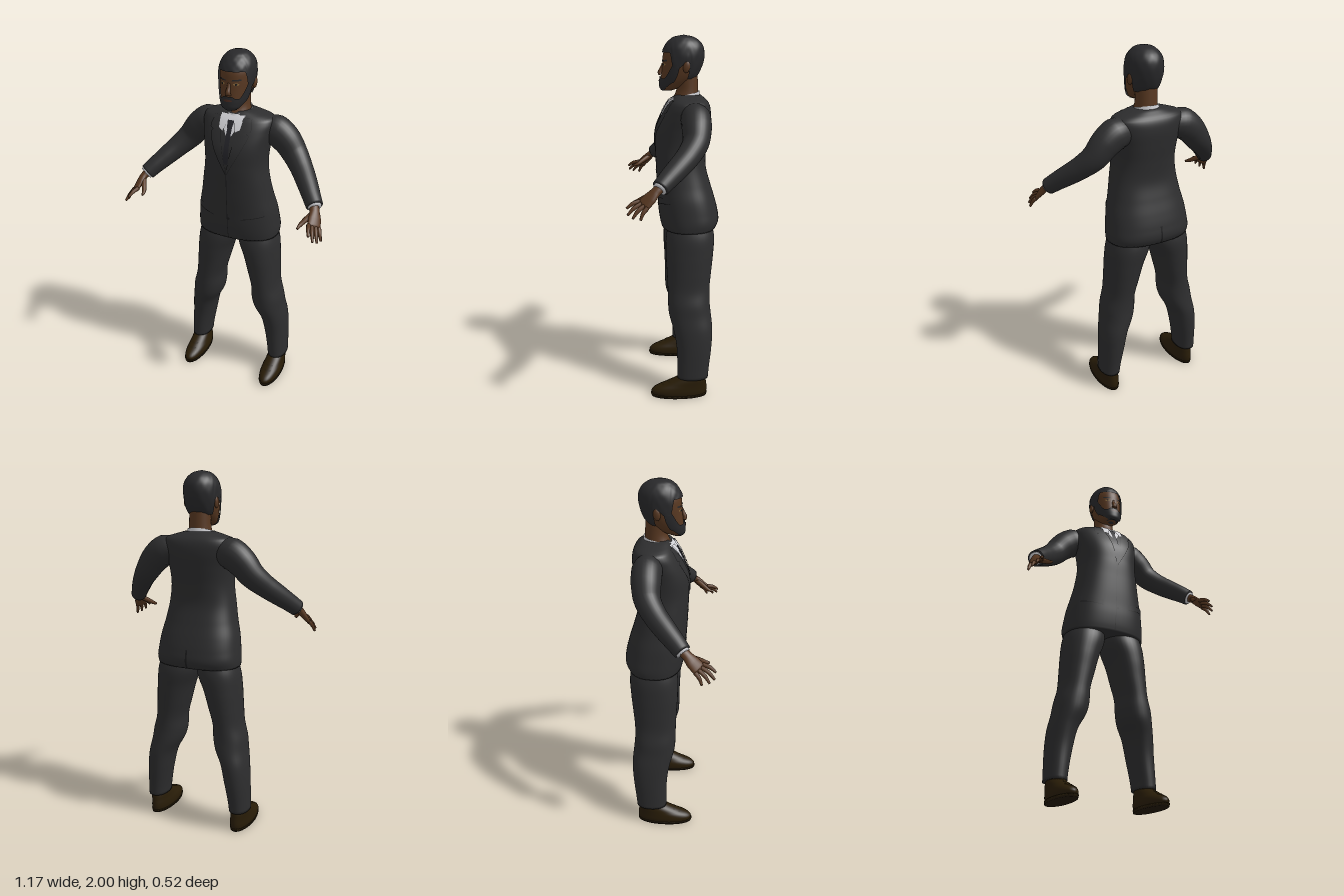
import * as THREE from 'three';
import { mergeVertices } from 'three/addons/utils/BufferGeometryUtils.js';

const mat = (name, color) => new THREE.MeshStandardMaterial({ name, color, side: THREE.DoubleSide });
const V = (x, y, z) => new THREE.Vector3(x, y, z);
const lerp = THREE.MathUtils.lerp;
const smooth = THREE.MathUtils.smoothstep;

// Grid of points p(u, v), welded so normals are smooth
function grid(nu, nv, p) {
  const pos = [], idx = [];
  for (let j = 0; j <= nv; j++) for (let i = 0; i <= nu; i++) {
    const q = p(i / nu, j / nv, j);
    pos.push(q.x, q.y, q.z);
  }
  for (let j = 0; j < nv; j++) for (let i = 0; i < nu; i++) {
    const a = j * (nu + 1) + i, d = a + nu + 1;
    idx.push(a, a + 1, d + 1, a, d + 1, d);
  }
  let g = new THREE.BufferGeometry();
  g.setAttribute('position', new THREE.Float32BufferAttribute(pos, 3));
  g.setIndex(idx);
  g = mergeVertices(g, 1e-5);
  g.computeVertexNormals();
  return g;
}

// Body surface from cross-sections [y, centre x, half width, front z, back z]
function surface(rows, p = 1) {
  const it = new THREE.CubicInterpolant(rows.map(r => r[0]), rows.flatMap(r => r.slice(1)), 4);
  const pw = c => Math.sign(c) * Math.abs(c) ** p;
  const at = (a, y, off = 0) => {
    const [cx, hw, zf, zb] = it.evaluate(y);
    const s = Math.sin(a), c = Math.cos(a);
    return V(cx + hw * pw(s) + off * s, y, (zf + zb) / 2 + (zf - zb) / 2 * pw(c) + off * c);
  };
  // Point on the front side, at x measured from the section's centre
  const front = (x, y, off) => {
    const k = Math.min(1, Math.abs(x) / it.evaluate(y)[1]);
    return at(Math.sign(x) * Math.asin(k ** (1 / p)), y, off);
  };
  return { at, front, y0: rows[0][0], y1: rows[rows.length - 1][0] };
}

// Closed solid from a surface
function loft(s, nu = 40, nv = 44) {
  const n = nv + 2;
  return grid(nu, n, (u, v, j) => {
    const y = lerp(s.y0, s.y1, THREE.MathUtils.clamp((j - 1) / nv, 0, 1));
    const a = (u % 1) * Math.PI * 2;
    return j === 0 || j === n ? s.at(0, y).add(s.at(Math.PI, y)).multiplyScalar(0.5) : s.at(a, y);
  });
}

// Swept limb: points [x, y, z, side radius, thickness radius]
function limb(pts, ref = V(0, 0, 1), nu = 20, nv = 28) {
  const curve = new THREE.CatmullRomCurve3(pts.map(q => V(q[0], q[1], q[2])));
  const n = nv + 2;
  return grid(nu, n, (u, v, j) => {
    const t = THREE.MathUtils.clamp((j - 1) / nv, 0, 1), c = curve.getPoint(t);
    if (j === 0 || j === n) return c;
    const k = Math.min(pts.length - 2, Math.floor(t * (pts.length - 1))), f = t * (pts.length - 1) - k;
    const A = pts[k], B = pts[k + 1];
    const T = curve.getTangent(t);
    const N = ref.clone().addScaledVector(T, -T.dot(ref)).normalize();
    const M = T.clone().cross(N);
    const a = (u % 1) * Math.PI * 2;
    return c.addScaledVector(N, Math.cos(a) * lerp(A[3], B[3], f))
      .addScaledVector(M, Math.sin(a) * lerp(A[4] ?? A[3], B[4] ?? B[3], f));
  });
}

// Thin plates lying on the front of a surface
const quad = (s, off, bl, br, tl, tr, n = 8) => grid(n, n, (u, v) =>
  s.front(lerp(lerp(bl[0], br[0], u), lerp(tl[0], tr[0], u), v), lerp(lerp(bl[1], br[1], u), lerp(tl[1], tr[1], u), v), off));
const disc = (s, off, x, y, rx, ry) => grid(20, 3, (u, v) =>
  s.front(x + Math.cos(u * 2 * Math.PI) * rx * (1 - v), y + Math.sin(u * 2 * Math.PI) * ry * (1 - v), off));

function mirror(g) {
  const m = g.clone().scale(-1, 1, 1), i = m.index.array;
  for (let k = 0; k < i.length; k += 3) [i[k], i[k + 1]] = [i[k + 1], i[k]];
  m.computeVertexNormals();
  return m;
}

export function createModel() {
  const root = new THREE.Group();
  root.name = 'suitedMan';
  const suit = mat('charcoal suit', 0x2d2d2e), seam = mat('dark seam', 0x1b1b1c), skin = mat('brown skin', 0x583821),
    hair = mat('black hair', 0x29292b), shoe = mat('brown leather', 0x281c07), sole = mat('dark sole', 0x231906),
    shirt = mat('white shirt', 0xd2d2d6), tie = mat('dark tie', 0x242429), lip = mat('lips', 0x4a2a20), iris = mat('amber eye', 0x8a6a3c);
  const add = (name, g, m) => {
    const mesh = new THREE.Mesh(g, m);
    mesh.name = name;
    root.add(mesh);
  };
  const pair = (name, g, m) => { add('left' + name, g, m); add('right' + name, mirror(g), m); };

  // Jacket body
  const torso = surface([
    [0.955, 0, 0.238, 0.066, -0.242], [0.99, 0, 0.24, 0.074, -0.257], [1.05, 0, 0.234, 0.082, -0.25], [1.12, 0, 0.224, 0.086, -0.232],
    [1.2, 0, 0.205, 0.091, -0.207], [1.3, 0, 0.187, 0.095, -0.182], [1.4, 0, 0.174, 0.098, -0.186], [1.5, 0, 0.182, 0.091, -0.2],
    [1.58, 0, 0.197, 0.059, -0.207], [1.63, 0, 0.2, 0.03, -0.2], [1.652, 0, 0.186, 0.014, -0.188],
    [1.668, 0, 0.135, 0.0, -0.17], [1.684, 0, 0.075, -0.014, -0.15]], 0.83);
  add('jacket', loft(torso, 56, 72), suit);
  add('frontSeam', quad(torso, 0.002, [-0.002, 0.962], [0.002, 0.962], [-0.002, 1.4], [0.002, 1.4], 20), seam);
  add('backVent', grid(2, 12, (u, v) => torso.at(Math.PI + lerp(-0.01, 0.01, u), lerp(0.958, 1.06, v), 0.002)), seam);
  add('button', disc(torso, 0.004, 0.01, 1.09, 0.007, 0.007), seam);
  pair('PocketFlap', quad(torso, 0.004, [0.08, 1.095], [0.195, 1.115], [0.08, 1.125], [0.192, 1.15]), suit);
  pair('PocketSeam', quad(torso, 0.005, [0.08, 1.093], [0.195, 1.113], [0.08, 1.097], [0.195, 1.117]), seam);

  // Shirt front, tie and lapels
  add('shirtFront', quad(torso, 0.003, [-0.016, 1.57], [0.016, 1.57], [-0.068, 1.668], [0.068, 1.668], 14), shirt);
  add('tieBlade', quad(torso, 0.005, [-0.015, 1.42], [0.015, 1.42], [-0.012, 1.63], [0.012, 1.63], 14), tie);
  add('tieKnot', quad(torso, 0.01, [-0.012, 1.605], [0.012, 1.605], [-0.02, 1.645], [0.02, 1.645]), tie);
  const lapel = (off, extra) => grid(8, 30, (u, v) => {
    const inner = lerp(0.002, 0.066, v ** 1.3);
    const width = 0.062 * Math.sin(Math.PI * Math.min(1, v * 0.62)) * (v > 0.74 && v < 0.8 ? 0.72 : 1) * (1 - 0.35 * smooth(v, 0.8, 1));
    return torso.front(inner + u * (width + extra), lerp(1.36, 1.658, v), off);
  });
  pair('LapelEdge', lapel(0.004, 0.002), seam);
  pair('Lapel', lapel(0.007, 0), suit);
  pair('CollarWing', quad(torso, 0.011, [0.034, 1.59], [0.058, 1.606], [0.012, 1.66], [0.064, 1.668]), shirt);

  // Neck and shirt collar
  const neck = surface([[1.58, 0, 0.072, 0.0, -0.14], [1.66, 0, 0.066, 0.0, -0.14], [1.71, 0, 0.06, -0.02, -0.138], [1.8, 0, 0.06, -0.015, -0.135]]);
  add('neck', loft(neck, 28, 16), skin);
  add('shirtCollar', grid(40, 5, (u, v) => {
    const a = u * Math.PI * 2;
    return neck.at(a, lerp(1.64, 1.688 - 0.016 * Math.cos(a), v), 0.011 - 0.004 * v);
  }), shirt);

  // Head
  const head = surface([
    [1.706, 0, 0.024, 0.052, 0.005], [1.718, 0, 0.044, 0.063, -0.03], [1.745, 0, 0.063, 0.066, -0.08], [1.78, 0, 0.076, 0.063, -0.122],
    [1.82, 0, 0.084, 0.059, -0.145], [1.86, 0, 0.088, 0.056, -0.158], [1.9, 0, 0.088, 0.052, -0.163], [1.94, 0, 0.079, 0.036, -0.154],
    [1.97, 0, 0.057, 0.01, -0.128], [1.986, 0, 0.032, -0.02, -0.095], [1.992, 0, 0.004, -0.055, -0.062]], 0.97);
  add('head', loft(head, 48, 48), skin);
  add('hair', grid(72, 28, (u, v) => {
    const a = (u - 0.5) * 2 * Math.PI, d = Math.abs(a);
    const low = 1.908 - 0.078 * smooth(d, 0.85, 1.15) + 0.03 * smooth(d, 1.5, 1.65) - 0.09 * smooth(d, 1.8, 2.1);
    const y = lerp(low, 1.992, Math.sin(v * Math.PI / 2));
    const q = head.at(a % (2 * Math.PI), y, 0.0085 * (1 - v ** 4) + 0.0015 * Math.sin(a * 12) * Math.sin(v * 17) * (1 - v));
    q.y += 0.006 * v;
    return q;
  }), hair);
  add('beard', grid(48, 14, (u, v) => {
    const a = (u - 0.5) * 2.9, d = Math.abs(a);
    const top = 1.783 - 0.01 * smooth(d, 0.25, 0.5) + 0.09 * smooth(d, 0.7, 1.25);
    const low = 1.707 + 0.045 * smooth(d, 0.9, 1.45);
    return head.at(a, lerp(low, top, v), 0.008);
  }), hair);
  add('beardUnderside', grid(24, 4, (u, v) => {
    const q = head.at((u - 0.5) * 2.9, 1.708, 0.008);
    return q.lerp(V(0, 1.704, 0.01), 1 - v);
  }), hair);
  add('mouth', disc(head, 0.011, 0, 1.763, 0.022, 0.006), lip);
  add('nose', limb([[0, 1.848, 0.052, 0.008], [0, 1.825, 0.06, 0.01], [0, 1.803, 0.07, 0.014, 0.012], [0, 1.79, 0.068, 0.017, 0.01]], V(1, 0, 0), 14, 14), skin);
  pair('Eye', disc(head, 0.003, 0.036, 1.845, 0.014, 0.006), iris);
  pair('Pupil', disc(head, 0.005, 0.036, 1.845, 0.0055, 0.0055), seam);
  pair('Brow', quad(head, 0.004, [0.015, 1.861], [0.058, 1.863], [0.017, 1.868], [0.056, 1.871]), hair);
  const ear = new THREE.SphereGeometry(1, 14, 12).scale(0.011, 0.032, 0.019).rotateX(-0.15).translate(0.09, 1.835, -0.068);
  pair('Ear', ear, skin);

  // Sleeves, cuffs and hands
  pair('Sleeve', limb([
    [0.13, 1.575, -0.1, 0.07, 0.07], [0.2, 1.572, -0.11, 0.08, 0.086], [0.258, 1.532, -0.11, 0.078, 0.08], [0.313, 1.467, -0.1, 0.069, 0.07],
    [0.372, 1.407, -0.056, 0.062, 0.06], [0.425, 1.355, 0.0, 0.057, 0.054], [0.468, 1.312, 0.05, 0.051, 0.048], [0.501, 1.277, 0.088, 0.045, 0.045]],
    undefined, 28, 42), suit);
  pair('Cuff', limb([[0.494, 1.285, 0.08, 0.036], [0.506, 1.271, 0.094, 0.036]], undefined, 24, 2), shirt);
  const across = V(0.045, -0.02, -0.045);
  pair('Palm', limb([[0.495, 1.283, 0.082, 0.026, 0.024], [0.511, 1.26, 0.112, 0.027, 0.02], [0.522, 1.232, 0.14, 0.037, 0.018],
    [0.53, 1.205, 0.168, 0.039, 0.014], [0.533, 1.195, 0.178, 0.03, 0.008]], across), skin);
  const fingers = [
    ['IndexFinger', [0.507, 1.215, 0.188], [0.53, 1.185, 0.255]], ['MiddleFinger', [0.522, 1.207, 0.18], [0.553, 1.157, 0.25]],
    ['RingFinger', [0.538, 1.199, 0.168], [0.569, 1.143, 0.226]], ['LittleFinger', [0.552, 1.192, 0.153], [0.577, 1.136, 0.188]]];
  for (const [name, a, b] of fingers) {
    const m = a.map((c, i) => (c + b[i]) / 2);
    pair(name, limb([[...a, 0.0115], [m[0], m[1] + 0.006, m[2] + 0.003, 0.0105], [...b, 0.006]], across, 10, 10), skin);
  }
  pair('Thumb', limb([[0.505, 1.25, 0.125, 0.016], [0.48, 1.226, 0.165, 0.014], [0.464, 1.208, 0.195, 0.011], [0.459, 1.198, 0.222, 0.006]], across, 10, 14), skin);

  // Trousers
  const leg = surface([
    [0.115, 0.264, 0.057, -0.012, -0.186], [0.16, 0.261, 0.059, -0.012, -0.19], [0.3, 0.246, 0.069, -0.008, -0.206], [0.4, 0.23, 0.076, 0.01, -0.211],
    [0.48, 0.203, 0.089, 0.032, -0.204], [0.54, 0.192, 0.092, 0.037, -0.198], [0.62, 0.18, 0.083, 0.038, -0.197], [0.72, 0.163, 0.092, 0.042, -0.207],
    [0.82, 0.146, 0.103, 0.047, -0.218], [0.92, 0.122, 0.117, 0.043, -0.224], [1.0, 0.11, 0.105, 0.02, -0.205]], 0.92);
  pair('TrouserLeg', loft(leg, 36, 56), suit);

  // Ankles and shoes
  pair('Ankle', new THREE.CylinderGeometry(0.042, 0.042, 0.07, 20).translate(0.262, 0.115, -0.09), skin);
  const upper = surface([[0.012, 0.26, 0.057, 0.132, -0.177], [0.035, 0.26, 0.06, 0.135, -0.181], [0.055, 0.26, 0.058, 0.112, -0.18],
    [0.075, 0.261, 0.054, 0.064, -0.177], [0.1, 0.262, 0.05, 0.01, -0.173], [0.116, 0.262, 0.046, -0.02, -0.168]], 0.97);
  pair('Shoe', loft(upper, 36, 20), shoe);
  pair('Sole', loft(surface([[0, 0.26, 0.058, 0.135, -0.179], [0.016, 0.26, 0.061, 0.141, -0.182]], 0.97), 36, 2), sole);
  for (const y of [0.07, 0.085]) pair('Lace', quad(upper, 0.003, [-0.02, y], [0.02, y], [-0.02, y + 0.005], [0.02, y + 0.005], 4), sole);
  return root;
}
